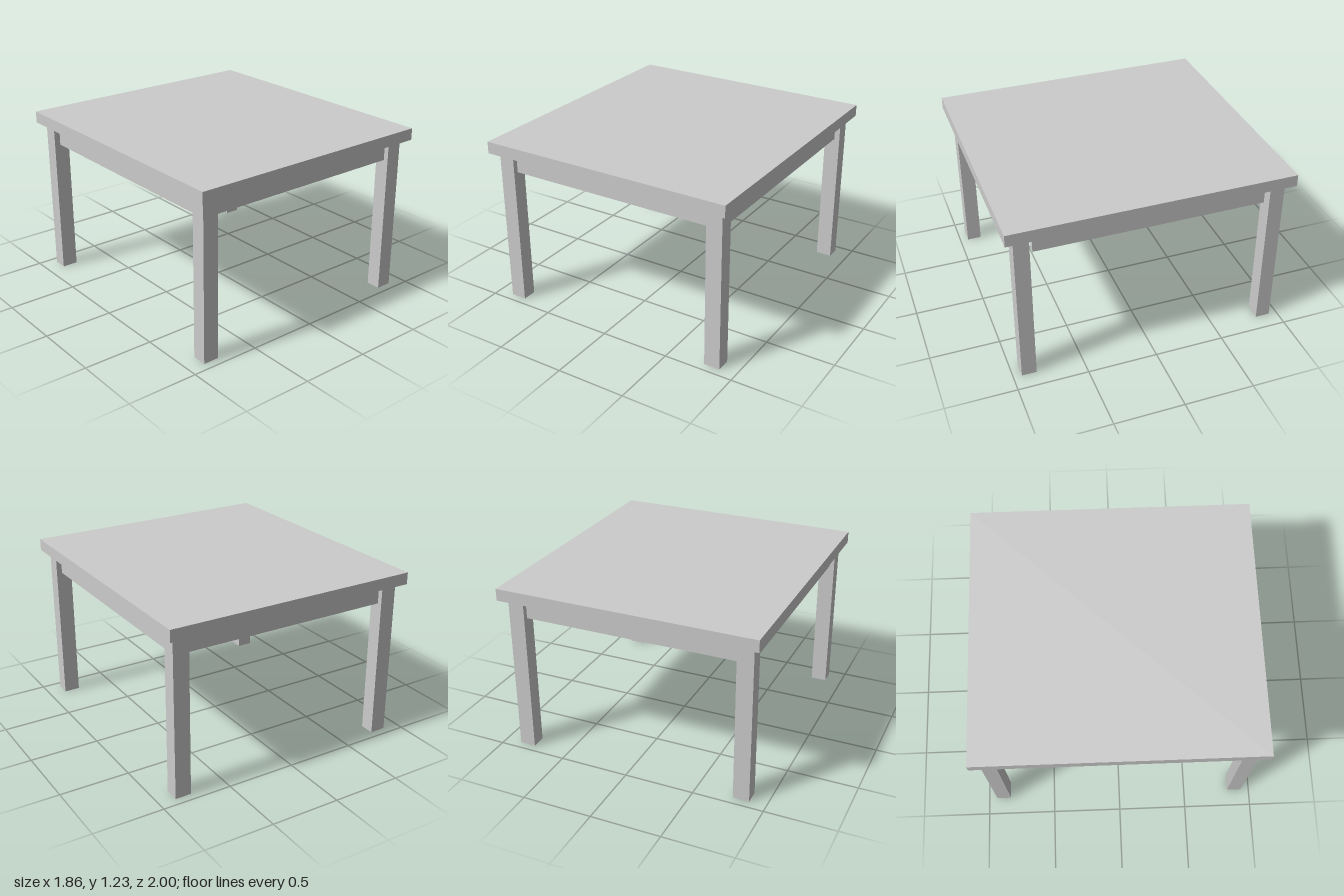
import * as THREE from 'three';

export function createModel() {
  const model = new THREE.Group();
  const material = new THREE.MeshStandardMaterial({ color: 0xcccccc, flatShading: true });

  // Box given by its size, centre x/z and the height of its underside
  function addBox(name, w, h, d, x, bottom, z) {
    const mesh = new THREE.Mesh(new THREE.BoxGeometry(w, h, d), material);
    mesh.name = name;
    mesh.position.set(x, bottom + h / 2, z);
    model.add(mesh);
  }

  const legHeight = 1.145;
  const apronHeight = 0.14;
  const apronBottom = legHeight - apronHeight;

  addBox('tabletop', 1.86, 0.085, 2, 0, legHeight, 0);

  // Legs at the four corners
  for (const [sideName, sx] of [['Left', 1], ['Right', -1]]) {
    for (const [endName, sz] of [['front', 1], ['back', -1]]) {
      addBox(`${endName}${sideName}Leg`, 0.115, legHeight, 0.105, sx * 0.8225, 0, sz * 0.8875);
    }
  }

  // Aprons: front and back meet the legs, the sides stop just short of them
  for (const [name, s] of [['front', 1], ['back', -1]]) {
    addBox(`${name}Apron`, 1.53, apronHeight, 0.04, 0, apronBottom, s * 0.885);
  }
  for (const [name, s] of [['left', 1], ['right', -1]]) {
    addBox(`${name}Apron`, 0.04, apronHeight, 1.62, s * 0.83, apronBottom, 0);
  }

  return model;
}
